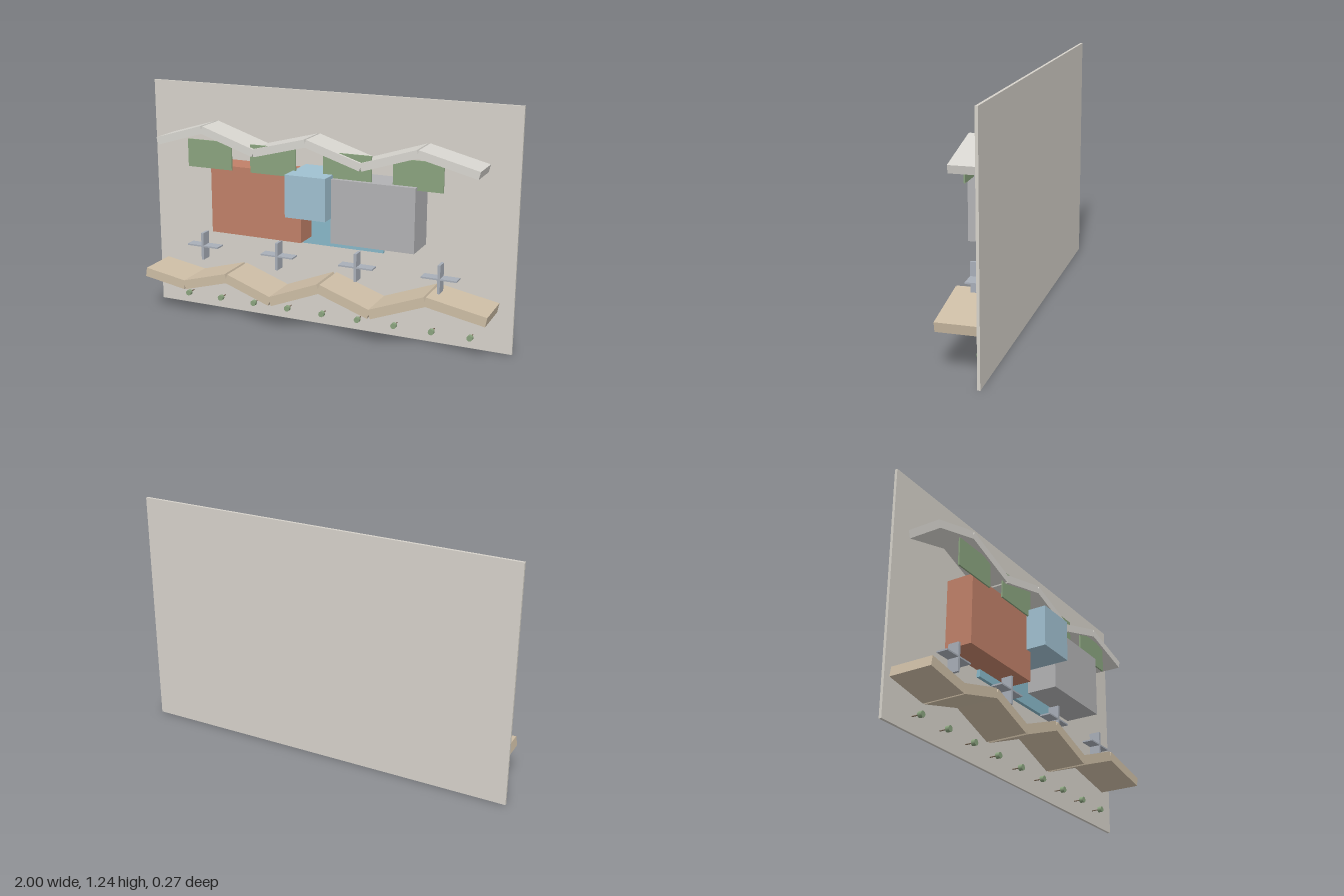
import * as THREE from 'three';

const BACK = -0.12; // front face of the wall panel

const mat = (color) => new THREE.MeshStandardMaterial({ color, flatShading: true });

// box given by its extents on each axis
function block(name, [x0, x1], [y0, y1], [z0, z1], material) {
  const mesh = new THREE.Mesh(new THREE.BoxGeometry(x1 - x0, y1 - y0, z1 - z0), material);
  mesh.position.set((x0 + x1) / 2, (y0 + y1) / 2, (z0 + z1) / 2);
  mesh.name = name;
  return mesh;
}

// row of tilted slabs that follow a zigzag line
function foldedStrip(name, points, thickness, zFront, material) {
  const group = new THREE.Group();
  group.name = name;
  for (let i = 0; i < points.length - 1; i++) {
    const [ax, ay] = points[i], [bx, by] = points[i + 1];
    const length = Math.hypot(bx - ax, by - ay);
    const slab = new THREE.Mesh(new THREE.BoxGeometry(length, thickness, zFront - BACK), material);
    slab.position.set((ax + bx) / 2, (ay + by) / 2, (zFront + BACK) / 2);
    slab.rotation.z = Math.atan2(by - ay, bx - ax);
    slab.name = name + 'Slab';
    group.add(slab);
  }
  return group;
}

export function createModel() {
  const model = new THREE.Group();
  model.name = 'wallRelief';

  // wall panel
  model.add(block('wallPanel', [-1, 1], [0, 1.236], [-0.134, BACK], mat(0xd6d2ca)));

  // central volumes
  model.add(block('redVolume', [-0.584, -0.073], [0.48, 0.842], [BACK, 0.026], mat(0xc08068)));
  model.add(block('greyVolume', [0.107, 0.543], [0.513, 0.84], [BACK, 0.062], mat(0xb2b2b4)));
  model.add(block('blueVolume', [-0.11, 0.107], [0.64, 0.857], [BACK, 0.134], mat(0xa0c0d0)));
  model.add(block('tealBackPlate', [-0.325, 0.325], [0.441, 0.7], [BACK, -0.101], mat(0x88b8c8)));

  // thin green screens hanging under the roof
  const green = mat(0x8aa37e);
  for (const x of [-0.583, -0.222, 0.182, 0.546]) {
    model.add(block('greenScreen', [x - 0.127, x + 0.127], [0.823, 0.968], [0.03, 0.038], green));
  }

  // folded roof and folded ground
  model.add(foldedStrip('foldedRoof', [
    [-0.887, 0.943], [-0.622, 1.023], [-0.328, 0.927], [-0.038, 1.003],
    [0.256, 0.91], [0.546, 1.003], [0.848, 0.928],
  ], 0.04, 0.052, mat(0xd8d6d0)));
  model.add(foldedStrip('foldedGround', [
    [-0.961, 0.225], [-0.724, 0.185], [-0.472, 0.256], [-0.22, 0.166],
    [0.054, 0.276], [0.327, 0.182], [0.617, 0.293], [0.922, 0.236],
  ], 0.049, 0.099, mat(0xcdbda5)));

  // crosses
  const steel = mat(0xa8aeb8);
  for (const x of [-0.656, -0.219, 0.219, 0.656]) {
    const cross = new THREE.Group();
    cross.name = 'cross';
    cross.add(block('crossUpright', [x - 0.007, x + 0.007], [0.311, 0.457], [-0.043, 0.015], steel));
    cross.add(block('crossArm', [x - 0.091, x + 0.091], [0.381, 0.389], [-0.043, 0.015], steel));
    model.add(cross);
  }

  // row of pegs along the bottom
  const stemMat = mat(0x7a6a58);
  const head = new THREE.CylinderGeometry(0.015, 0.015, 0.021, 16).rotateX(Math.PI / 2);
  const stem = new THREE.CylinderGeometry(0.003, 0.003, 0.042, 8).rotateX(Math.PI / 2);
  const headMat = new THREE.MeshStandardMaterial({ color: 0x8aa37e });
  for (let i = 0; i < 9; i++) {
    const peg = new THREE.Group();
    peg.name = 'peg';
    const pegHead = new THREE.Mesh(head, headMat);
    pegHead.name = 'pegHead';
    pegHead.position.z = -0.07;
    const pegStem = new THREE.Mesh(stem, stemMat);
    pegStem.name = 'pegStem';
    pegStem.position.z = -0.1;
    peg.add(pegHead, pegStem);
    peg.position.set(-0.8 + 0.2 * i, 0.075, 0);
    model.add(peg);
  }

  return model;
}
